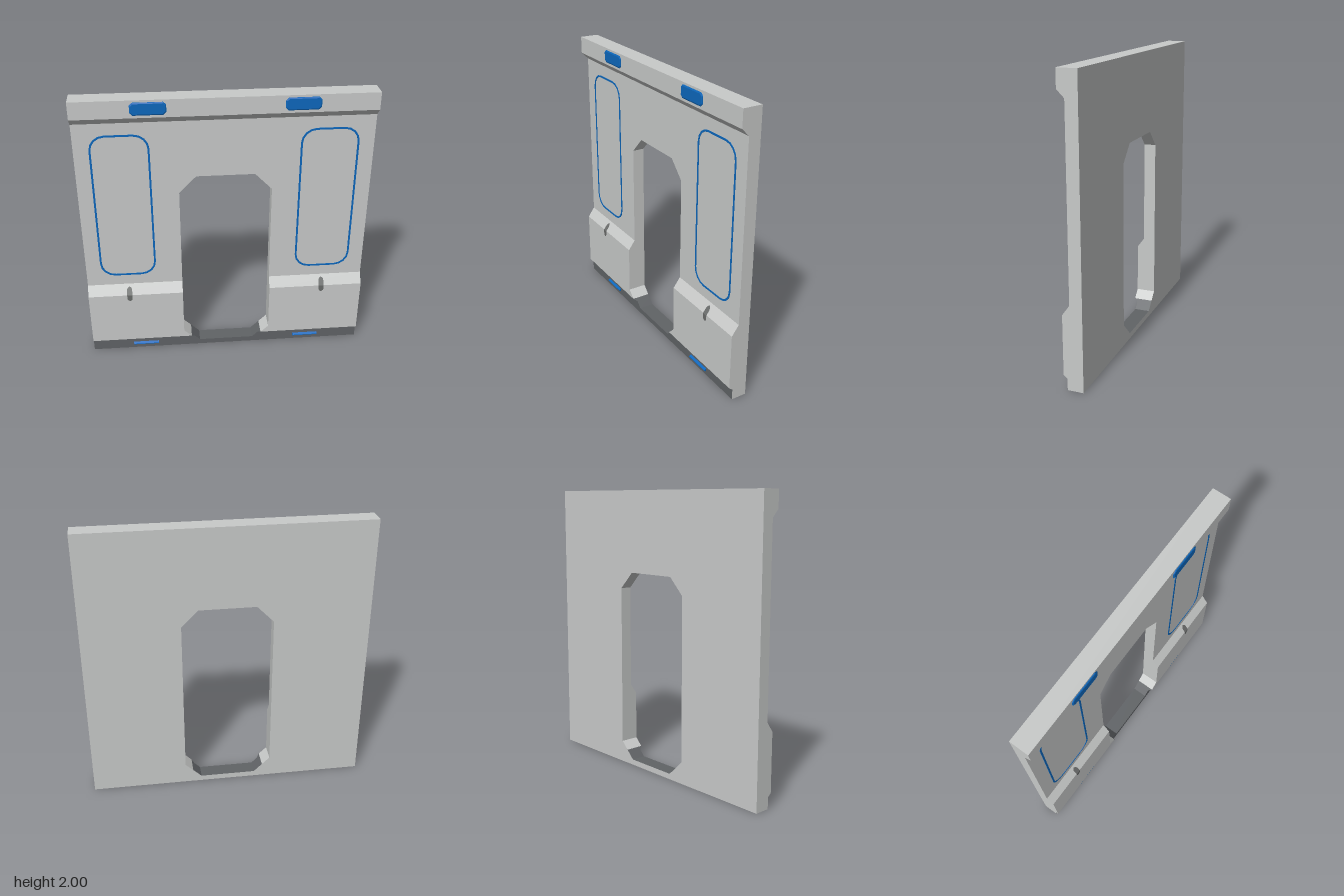
import * as THREE from 'three';

const paint = (name, color) => {
  const m = new THREE.MeshStandardMaterial({ color });
  m.name = name;
  return m;
};

// Piecewise linear lookup through [y, value] points
function at(points, y) {
  for (let i = 1; i < points.length; i++) {
    const [y0, v0] = points[i - 1], [y1, v1] = points[i];
    if (y <= y1 + 1e-6) return v0 + (v1 - v0) * (y - y0) / (y1 - y0);
  }
  return points[points.length - 1][1];
}

// Rectangle with cut corners of size c, or rounded ones when n > 1
function panelShape(w, h, c, n = 1, Type = THREE.Shape) {
  const pts = [];
  [[1, 1], [-1, 1], [-1, -1], [1, -1]].forEach(([sx, sy], k) => {
    for (let i = 0; i <= n; i++) {
      const a = (k + i / n) * Math.PI / 2;
      pts.push(new THREE.Vector2(sx * (w / 2 - c) + c * Math.cos(a), sy * (h / 2 - c) + c * Math.sin(a)));
    }
  });
  return new Type(pts);
}

const BACK = -0.071, FACE = 0.013, PROUD = 0.063;
// Front surface depth by height, and half width of the doorway by height
const profile = [[0, 0.037], [0.08, 0.037], [0.1, PROUD], [0.505, PROUD], [0.575, FACE], [1.83, FACE], [1.88, PROUD], [2, PROUD]];
const door = [[0.04, 0.2], [0.155, 0.318], [1.305, 0.318], [1.425, 0.2]];
const SILL = 0.04, HEAD = 1.425;

function wallGeometries() {
  const light = [], dark = [];
  const quad = (out, a, b, c, d) => out.push(...a, ...b, ...c, ...a, ...c, ...d);
  // Quad on both halves, with reversed order on the mirrored one
  const pair = (out, ...q) => {
    quad(out, ...q);
    quad(out, ...q.map(([x, y, z]) => [-x, y, z]).reverse());
  };
  const ys = [...new Set([...profile, ...door].map(p => p[0]))].sort((a, b) => a - b);
  for (let i = 1; i < ys.length; i++) {
    const y0 = ys[i - 1], y1 = ys[i];
    const z0 = at(profile, y0), z1 = at(profile, y1);
    const open = y0 >= SILL && y1 <= HEAD;
    const w0 = open ? at(door, y0) : 0, w1 = open ? at(door, y1) : 0;
    const tone = y1 <= 0.1 ? dark : light;
    pair(tone, [w0, y0, z0], [1, y0, z0], [1, y1, z1], [w1, y1, z1]);
    pair(light, [1, y0, BACK], [w0, y0, BACK], [w1, y1, BACK], [1, y1, BACK]);
    pair(light, [1, y0, z0], [1, y0, BACK], [1, y1, BACK], [1, y1, z1]);
    if (open) pair(tone, [w0, y0, BACK], [w0, y0, z0], [w1, y1, z1], [w1, y1, BACK]);
  }
  // Top, bottom, door head and door sill
  const level = (out, w, y, up) => {
    const z = at(profile, y);
    const q = [[-w, y, z], [w, y, z], [w, y, BACK], [-w, y, BACK]];
    quad(out, ...(up ? q : q.reverse()));
  };
  level(light, 1, 2, true);
  level(light, 1, 0, false);
  level(light, 0.2, HEAD, false);
  level(dark, 0.2, SILL, true);
  return [light, dark].map(p => {
    const g = new THREE.BufferGeometry();
    g.setAttribute('position', new THREE.Float32BufferAttribute(p, 3));
    g.computeVertexNormals();
    return g;
  });
}

// Oval slot plate that bends over the ledge
function slotGeometry() {
  const bend = 0.505, y0 = 0.455, y1 = 0.56, n = 12, pos = [], idx = [];
  const half = y => 0.018 * Math.pow(Math.max(0, 1 - Math.pow((2 * y - y0 - y1) / (y1 - y0), 4)), 0.5) + 0.001;
  const ys = [...Array.from({ length: n }, (_, i) => y0 + (y1 - y0) * i / (n - 1)), bend].sort((a, b) => a - b);
  ys.forEach((y, i) => {
    const z = at(profile, y) + 0.003;
    pos.push(-half(y), y, z, half(y), y, z);
    if (i) {
      const a = 2 * i - 2;
      idx.push(a, a + 1, a + 3, a, a + 3, a + 2);
    }
  });
  const g = new THREE.BufferGeometry();
  g.setAttribute('position', new THREE.Float32BufferAttribute(pos, 3));
  g.setIndex(idx);
  const flat = g.toNonIndexed();
  flat.computeVertexNormals();
  return flat;
}

export function createModel() {
  const group = new THREE.Group();
  group.name = 'doorwayWall';
  const grey = paint('light grey', 0xc8cac9);
  const charcoal = paint('dark grey', 0x606366);
  const slotGrey = paint('slot grey', 0x696b6a);
  slotGrey.side = THREE.DoubleSide;
  const blue = paint('blue', 0x0d68bd);
  const add = (name, geo, mat, x = 0, y = 0, z = 0) => {
    const m = new THREE.Mesh(geo, mat);
    m.name = name;
    m.position.set(x, y, z);
    group.add(m);
  };

  const [light, dark] = wallGeometries();
  add('wall', light, grey);
  add('kickStrip', dark, charcoal);

  // Thin outline of the wall panels
  const outline = panelShape(0.396, 1.094, 0.105, 4);
  outline.holes.push(panelShape(0.37, 1.068, 0.093, 4, THREE.Path));
  const outlineGeo = new THREE.ExtrudeGeometry(outline, { depth: 0.003, bevelEnabled: false });

  // Bevelled upper lamp
  const lampGeo = new THREE.ExtrudeGeometry(panelShape(0.218, 0.07, 0.014),
    { depth: 0.006, bevelThickness: 0.004, bevelSize: 0.008, bevelSegments: 1 });

  // Lower lamp with a ridged cross-section
  const ridge = new THREE.Shape([[0.03, 0.024], [0.053, 0.038], [0.053, 0.043], [0.03, 0.056]]
    .map(([z, y]) => new THREE.Vector2(-z, y)));
  const ridgeGeo = new THREE.ExtrudeGeometry(ridge, { depth: 0.188, bevelEnabled: false });
  ridgeGeo.translate(0, 0, -0.094).rotateY(Math.PI / 2);

  const slotGeo = slotGeometry();
  for (const [side, s] of [['left', 1], ['right', -1]]) {
    add(side + 'PanelOutline', outlineGeo, blue, s * 0.7, 1.2, FACE);
    add(side + 'UpperLamp', lampGeo, blue, s * 0.498, 1.942, 0.061);
    add(side + 'LowerLamp', ridgeGeo, blue, s * 0.606, 0, 0);
    add(side + 'LedgeSlot', slotGeo, slotGrey, s * 0.703, 0, 0);
  }
  return group;
}
